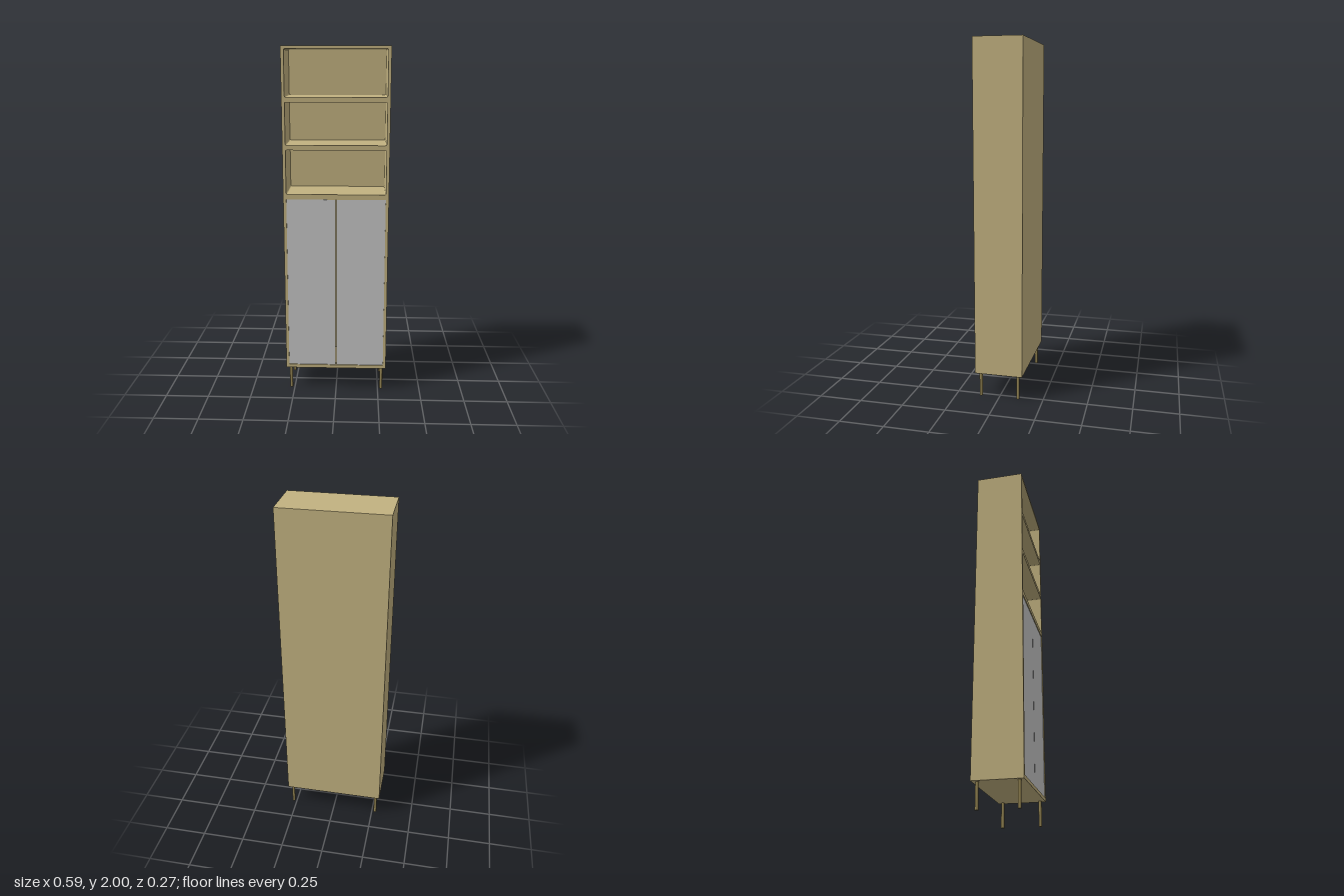
import * as THREE from 'three';

const W = 0.592, BOTTOM = 0.14, TOP = 2, D = 0.273, BACK = 0.02;

// Rectangle outline with rounded corners
function roundedRect(path, x0, y0, x1, y1, r) {
  path.moveTo(x0 + r, y0);
  path.lineTo(x1 - r, y0);
  path.quadraticCurveTo(x1, y0, x1, y0 + r);
  path.lineTo(x1, y1 - r);
  path.quadraticCurveTo(x1, y1, x1 - r, y1);
  path.lineTo(x0 + r, y1);
  path.quadraticCurveTo(x0, y1, x0, y1 - r);
  path.lineTo(x0, y0 + r);
  path.quadraticCurveTo(x0, y0, x0 + r, y0);
  return path;
}

export function createModel() {
  const group = new THREE.Group();
  const wood = new THREE.MeshStandardMaterial({ name: 'sand wood', color: 0xc2b280 });
  const grey = new THREE.MeshStandardMaterial({ name: 'light grey', color: 0xc8c8c8 });
  const legWood = new THREE.MeshStandardMaterial({ name: 'dark leg', color: 0x948452 });

  const add = (name, geometry, material, x, y, z) => {
    const mesh = new THREE.Mesh(geometry, material);
    mesh.name = name;
    mesh.position.set(x, y, z);
    group.add(mesh);
  };

  // Carcass: three open shelves above a cupboard opening
  const outline = new THREE.Shape([
    new THREE.Vector2(-W / 2, BOTTOM), new THREE.Vector2(W / 2, BOTTOM),
    new THREE.Vector2(W / 2, TOP), new THREE.Vector2(-W / 2, TOP),
  ]);
  const half = 0.279;
  for (const [y0, y1] of [[1.197, 1.445], [1.472, 1.705], [1.732, 1.985]]) {
    outline.holes.push(roundedRect(new THREE.Path(), -half, y0, half, y1, 0.008));
  }
  outline.holes.push(new THREE.Path([
    new THREE.Vector2(-half, 0.16), new THREE.Vector2(half, 0.16),
    new THREE.Vector2(half, 1.168), new THREE.Vector2(-half, 1.168),
  ]));
  add('carcass', new THREE.ExtrudeGeometry(outline, {
    depth: D - BACK, bevelEnabled: false, curveSegments: 4,
  }), wood, 0, 0, -D / 2 + BACK);
  add('backPanel', new THREE.BoxGeometry(W, TOP - BOTTOM, BACK), wood,
    0, (TOP + BOTTOM) / 2, -D / 2 + BACK / 2);

  // Doors, set slightly back with a narrow gap between them
  const doorWidth = half - 0.002;
  for (const [name, side] of [['leftDoor', 1], ['rightDoor', -1]]) {
    add(name, new THREE.BoxGeometry(doorWidth, 1.006, 0.016), grey,
      side * (0.002 + doorWidth / 2), 0.664, D / 2 - 0.012);
  }

  // Legs
  for (const x of [-0.27, 0.27]) {
    for (const z of [-0.108, 0.108]) {
      add('leg', new THREE.CylinderGeometry(0.009, 0.009, BOTTOM, 12), legWood, x, BOTTOM / 2, z);
    }
  }
  return group;
}
